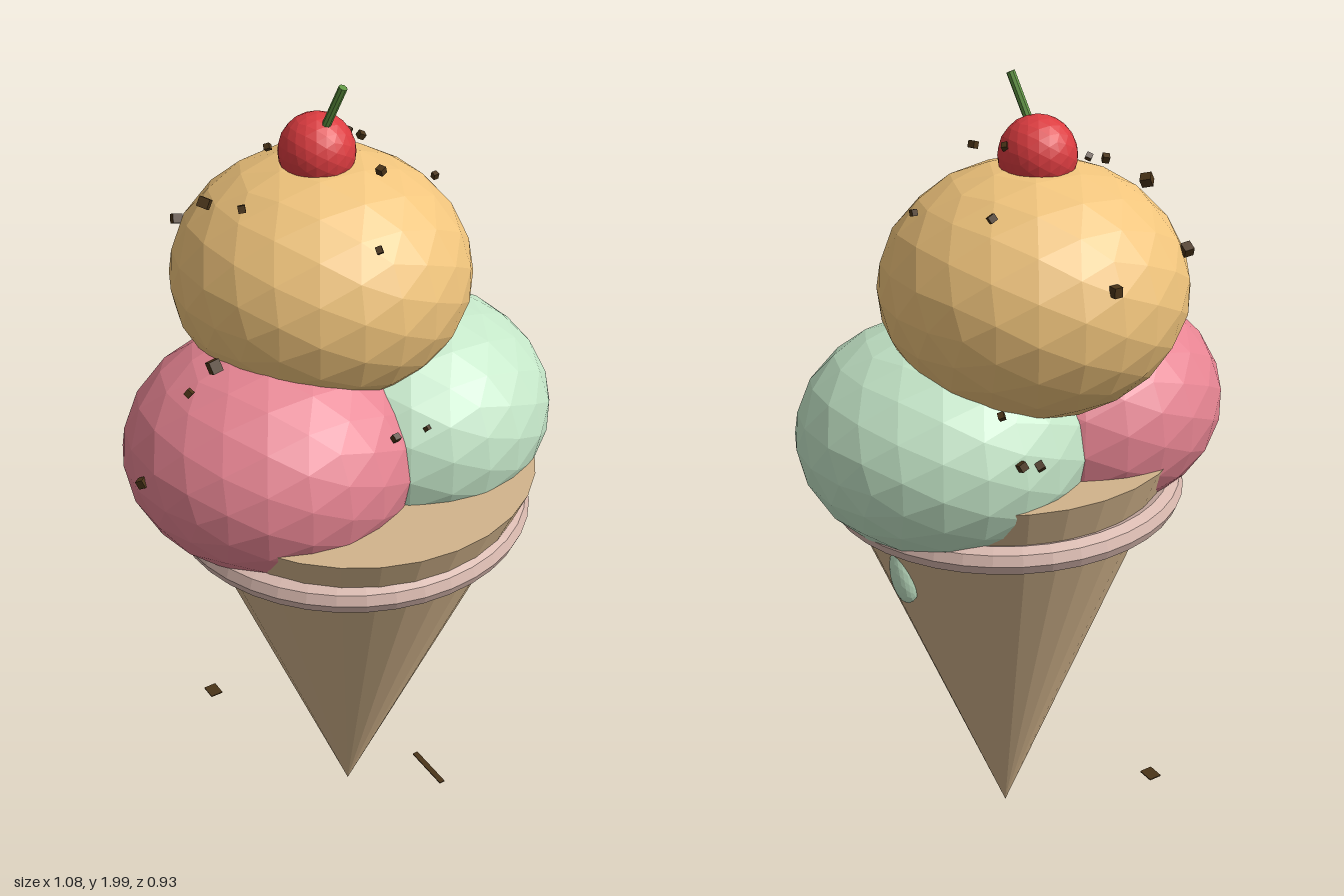
import * as THREE from 'three';

const material = (color) => new THREE.MeshStandardMaterial({ color, flatShading: true });

export function createModel() {
  const group = new THREE.Group();
  const add = (name, geometry, mat, position) => {
    const mesh = new THREE.Mesh(geometry, mat);
    mesh.name = name;
    mesh.position.set(...position);
    group.add(mesh);
    return mesh;
  };

  const wafer = material(0xd2b48c);
  const trim = material(0xd8b8ae);
  const mint = material(0xc4e6c8);
  const dark = material(0x4a3418);

  // Closed wafer cone, point down, leaning very slightly forward
  const coneHeight = 1.1;
  const coneShape = new THREE.ConeGeometry(0.434, coneHeight, 30);
  coneShape.rotateX(Math.PI).translate(0, coneHeight / 2, 0);
  const cone = add('cone', coneShape, wafer, [0.008, 0.008, 0.01]);
  cone.rotation.x = 0.018;

  // Rounded band around the cone
  const bandShape = new THREE.TorusGeometry(0.401, 0.034, 8, 40).rotateX(Math.PI / 2);
  add('coneBand', bandShape, trim, [0.003, 0.988, 0.02]);

  // Three flattened scoops
  const scoop = (name, mat, position, ry) => {
    const shape = new THREE.IcosahedronGeometry(0.35, 3).scale(1, ry / 0.35, 1);
    return add(name, shape, mat, position);
  };
  scoop('leftScoop', mint, [0.185, 1.174, -0.015], 0.27);
  scoop('rightScoop', material(0xe68492), [-0.185, 1.178, -0.015], 0.272);
  scoop('topScoop', material(0xf0c47c), [0.012, 1.53, -0.118], 0.286);

  // Melted drip under the left scoop
  const dripShape = new THREE.IcosahedronGeometry(1, 3).scale(0.035, 0.085, 0.035);
  const drip = add('drip', dripShape, mint, [0.322, 0.85, -0.043]);
  drip.rotation.z = -0.12;

  // Cherry and its stem
  add('cherry', new THREE.IcosahedronGeometry(0.087, 3), material(0xdc3c40), [0.003, 1.829, -0.117]);
  const from = new THREE.Vector3(-0.005, 1.86, -0.096);
  const to = new THREE.Vector3(0.024, 1.996, -0.042);
  const stem = add('cherryStem', new THREE.CylinderGeometry(0.01, 0.01, from.distanceTo(to), 8),
    material(0x5f9440), from.clone().lerp(to, 0.5).toArray());
  stem.quaternion.setFromUnitVectors(new THREE.Vector3(0, 1, 0), to.clone().sub(from).normalize());

  // Chocolate sprinkles: x, y, z, size
  const sprinkles = [
    [0.03, 1.63, -0.45, 0.02], [-0.24, 1.635, -0.34, 0.022], [-0.25, 1.745, -0.175, 0.023],
    [-0.08, 1.83, -0.19, 0.013], [-0.22, 1.77, -0.06, 0.016], [0.21, 1.765, -0.26, 0.015],
    [0.275, 1.73, -0.05, 0.013], [0.072, 1.825, 0.035, 0.016], [-0.015, 1.715, 0.165, 0.014],
    [-0.532, 1.21, 0.005, 0.018], [-0.415, 1.42, 0.03, 0.015], [-0.353, 1.47, 0.035, 0.025],
    [-0.03, 1.3, 0.265, 0.015], [0.05, 1.3, 0.27, 0.011], [0.085, 1.86, -0.115, 0.013],
    [0.22, 1.34, -0.31, 0.014], [0.2, 1.235, -0.36, 0.018], [0.15, 1.22, -0.355, 0.018],
  ];
  sprinkles.forEach(([x, y, z, size], i) => {
    const sprinkle = add('sprinkle', new THREE.BoxGeometry(size, size * 1.1, size), dark, [x, y, z]);
    sprinkle.rotation.set(i * 0.7, i * 1.3, i * 0.4);
  });

  // Two loose thin flakes beside the cone
  add('flake', new THREE.BoxGeometry(0.014, 0.003, 0.12), dark, [0.02, 0.345, 0.37]);
  add('flake', new THREE.BoxGeometry(0.034, 0.003, 0.042), dark, [-0.232, 0.2, -0.31]);

  return group;
}
